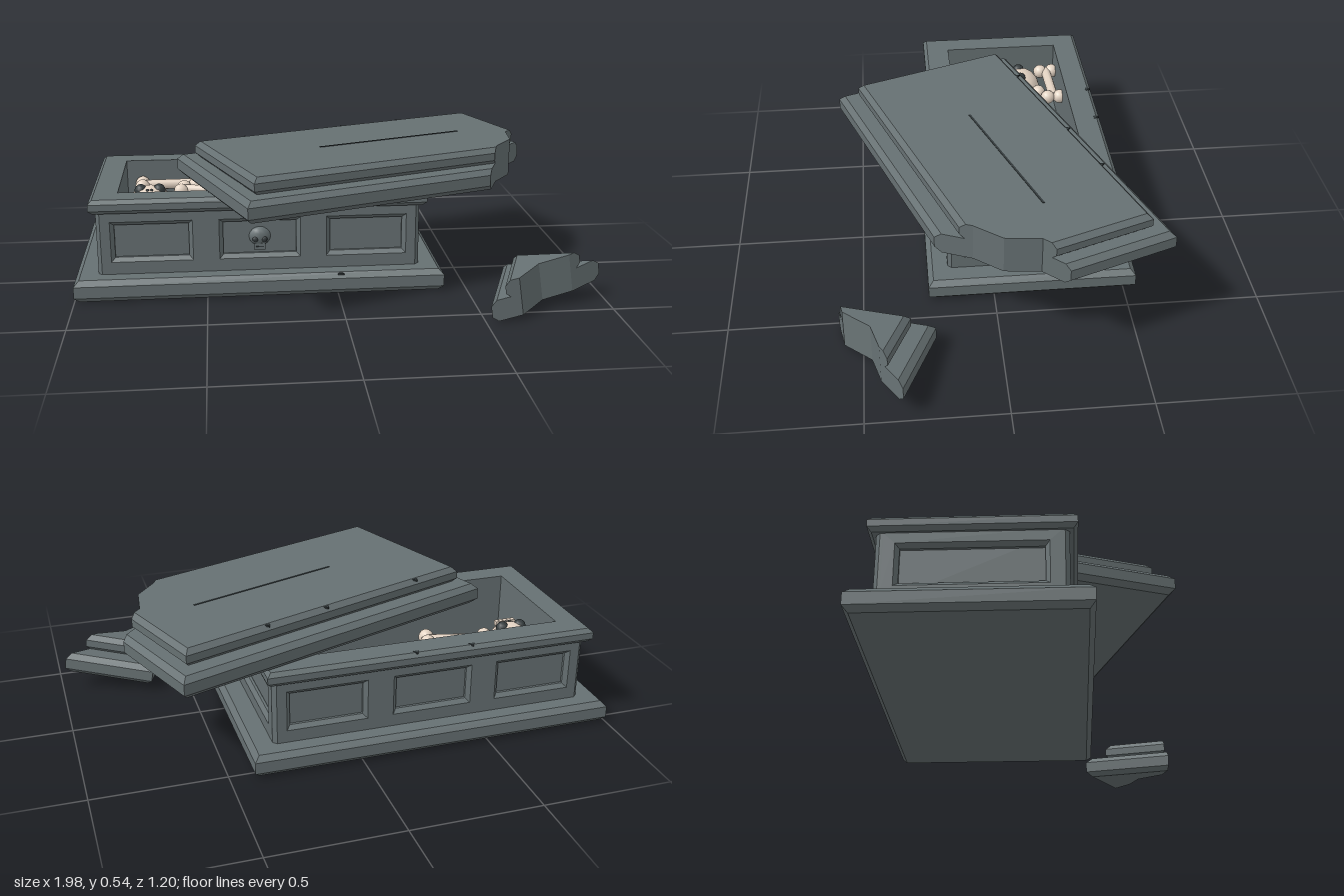
import * as THREE from 'three';

const mat = (name, color, side = THREE.FrontSide) => {
  const m = new THREE.MeshStandardMaterial({ color, side });
  m.name = name;
  return m;
};

// Flat-faced loft through stacked loops; each loop is a list of [x, z] at height y
function loft(levels, capBottom = true, capTop = true) {
  const pos = [];
  const tri = (...pts) => pts.forEach(p => pos.push(...p));
  const at = (l, i) => [l.loop[i][0], l.y, l.loop[i][1]];
  for (let k = 0; k + 1 < levels.length; k++) {
    const lo = levels[k], up = levels[k + 1], n = lo.loop.length;
    for (let i = 0; i < n; i++) {
      const j = (i + 1) % n;
      tri(at(lo, i), at(lo, j), at(up, j));
      tri(at(lo, i), at(up, j), at(up, i));
    }
  }
  const cap = (l, dir) => {
    const pts = l.loop.map(p => new THREE.Vector2(p[0], p[1]));
    for (const [a, b, c] of THREE.ShapeUtils.triangulateShape(pts, [])) {
      const A = pts[a], B = pts[b], C = pts[c];
      const ny = (B.y - A.y) * (C.x - A.x) - (B.x - A.x) * (C.y - A.y);
      if (ny * dir > 0) tri(at(l, a), at(l, b), at(l, c));
      else tri(at(l, a), at(l, c), at(l, b));
    }
  };
  if (capBottom) cap(levels[0], -1);
  if (capTop) cap(levels[levels.length - 1], 1);
  const g = new THREE.BufferGeometry();
  g.setAttribute('position', new THREE.Float32BufferAttribute(pos, 3));
  g.computeVertexNormals();
  return g;
}

const rect = (a, b) => [[-a, -b], [-a, b], [a, b], [a, -b]];
const stack = (profile, loopOf) => profile.map(([a, b, y]) => ({ loop: loopOf(a, b), y }));

// Break line across one corner of the lid, shared by the lid and its fragment
const BREAK = [[0.41, 0.275], [0.515, 0.209], [0.573, 0.092]];
const breakEnd = L => [L, 0.092 - (L - 0.573) * 0.54];
const breakStart = W => [0.41 - (W - 0.275) * 0.905, W];
const lidLoop = (L, W) => [[-L, -W], [-L, W], breakStart(W), ...BREAK, breakEnd(L), [L, -W]];
const fragmentLoop = (L, W) => [breakStart(W), [L, W], breakEnd(L), ...[...BREAK].reverse()];
const LID = [
  [0.655, 0.36, 0], [0.675, 0.38, 0.02], [0.675, 0.38, 0.062], [0.655, 0.36, 0.082],
  [0.607, 0.297, 0.082], [0.622, 0.312, 0.097], [0.622, 0.312, 0.126], [0.604, 0.294, 0.145],
];

// Body wall with sloped recessed panels; its outer face lies at z = dist
function wallGeometry(half, dist, centres, panelHalf) {
  const b = 0.015;
  const box = (path, x0, x1, y0, y1) =>
    path.moveTo(x0, y0).lineTo(x1, y0).lineTo(x1, y1).lineTo(x0, y1).closePath();
  const s = box(new THREE.Shape(), -half + b, half - b, 0.075, 0.34);
  for (const c of centres) s.holes.push(box(new THREE.Path(), c - panelHalf, c + panelHalf, 0.133, 0.292));
  const g = new THREE.ExtrudeGeometry(s, {
    depth: 0.01, bevelEnabled: true, bevelSize: b, bevelThickness: b, bevelSegments: 1,
  });
  return g.translate(0, 0, dist - 0.025);
}

export function createModel() {
  const stone = mat('stone', 0x667072);
  const dark = mat('dark stone', 0x343b3d);
  const bone = mat('bone', 0xe3d3c3);
  const root = new THREE.Group();
  const add = (parent, name, geo, m, x = 0, y = 0, z = 0) => {
    const mesh = new THREE.Mesh(geo, m);
    mesh.name = name;
    mesh.position.set(x, y, z);
    parent.add(mesh);
    return mesh;
  };
  const group = (parent, name, x = 0, y = 0, z = 0) => {
    const g = new THREE.Group();
    g.name = name;
    g.position.set(x, y, z);
    parent.add(g);
    return g;
  };

  // Stone chest
  const chest = group(root, 'chest', -0.295, 0, -0.147);
  add(chest, 'plinth', loft(stack([
    [0.685, 0.378, 0], [0.705, 0.398, 0.02], [0.705, 0.398, 0.065], [0.685, 0.378, 0.085],
  ], rect)), stone);
  add(chest, 'panelBacks', loft(stack([[0.59, 0.293, 0.08], [0.59, 0.293, 0.34]], rect), false, false), stone);
  for (const side of [0, 2]) {
    add(chest, 'longWall', wallGeometry(0.617, 0.32, [-0.41, 0, 0.41], 0.155), stone).rotation.y = side * Math.PI / 2;
    add(chest, 'endWall', wallGeometry(0.32, 0.617, [0], 0.255), stone).rotation.y = (side + 1) * Math.PI / 2;
  }
  // Rim running over into the hollow and its floor
  add(chest, 'rimAndHollow', loft(stack([
    [0.535, 0.24, 0.33], [0.625, 0.333, 0.33], [0.64, 0.348, 0.345], [0.64, 0.348, 0.37],
    [0.625, 0.333, 0.385], [0.535, 0.24, 0.385], [0.535, 0.24, 0.13],
  ], rect), false, true), stone);

  // Small chips along the edges
  const chip = (parent, x, y, z) => {
    const c = add(parent, 'chip', new THREE.CylinderGeometry(0.014, 0.014, 0.006, 3), dark, x, y, z);
    c.rotation.y = Math.PI;
  };
  chip(chest, -0.145, 0.384, -0.33);
  chip(chest, 0.075, 0.384, -0.33);
  chip(chest, 0.305, 0.08, 0.386);

  // Skull carved on the front panel
  const carving = group(chest, 'carvedSkull', 0, 0.205, 0.295);
  add(carving, 'carvedCranium', new THREE.SphereGeometry(0.042, 12, 8), stone, 0, 0.008, 0).scale.set(1, 0.9, 0.55);
  add(carving, 'carvedJaw', new THREE.BoxGeometry(0.042, 0.026, 0.03), stone, 0, -0.03, 0.002);
  for (const s of [-1, 1]) {
    add(carving, 'carvedEye', new THREE.SphereGeometry(0.012, 8, 6), dark, s * 0.017, 0, 0.017).scale.z = 0.6;
  }
  add(carving, 'carvedMouth', new THREE.BoxGeometry(0.03, 0.004, 0.004), dark, 0, -0.03, 0.017);

  // Broken lid lying askew
  const lid = group(root, 'lid', 0.155, 0.39, -0.02);
  lid.rotation.y = 0.35;
  add(lid, 'lidSlab', loft(stack(LID, lidLoop)), stone);
  add(lid, 'crack', new THREE.BoxGeometry(0.62, 0.004, 0.008), dark, 0.09, 0.145, -0.001);
  for (const x of [-0.41, 0.02, 0.28]) chip(lid, x, 0.14, -0.3);

  // Corner broken off the lid, resting on the ground
  const fragment = group(root, 'lidFragment', 0.655, 0.022, 0.235);
  fragment.rotation.z = 0.15;
  const fragGeo = loft(stack(LID, fragmentLoop)).translate(-0.675, 0, -0.38);
  fragGeo.scale(1, 1, 1.1);
  fragGeo.computeVertexNormals();
  add(fragment, 'fragmentSlab', fragGeo, stone).rotation.y = 2.78;

  // Skull looking up from the hollow
  const skull = group(root, 'skull', -0.728, 0.23, -0.225);
  add(skull, 'cranium', new THREE.SphereGeometry(0.095, 18, 12), bone, 0, 0, 0).scale.set(1, 0.95, 0.92);
  add(skull, 'jaw', new THREE.SphereGeometry(0.056, 10, 8), bone, 0, 0.025, 0.058).scale.set(1, 0.85, 0.5);
  for (const s of [-1, 1]) {
    add(skull, 'eyeSocket', new THREE.SphereGeometry(0.026, 10, 8), dark, s * 0.037, 0.072, 0.005);
    add(skull, 'nostril', new THREE.SphereGeometry(0.007, 6, 5), dark, s * 0.008, 0.08, 0.037);
  }
  for (let i = -2; i <= 2; i++) {
    add(skull, 'tooth', new THREE.BoxGeometry(0.014, 0.02, 0.02), bone, i * 0.017, 0.068, 0.062);
  }

  // Loose bones with knobbed ends
  const addBone = (x, y, z, length, yaw, tilt) => {
    const b = group(root, 'looseBone', x, y, z);
    b.rotation.set(0, yaw, tilt);
    add(b, 'shaft', new THREE.CylinderGeometry(0.021, 0.021, length, 8), bone).rotation.z = Math.PI / 2;
    for (const e of [-1, 1]) for (const s of [-1, 1]) {
      add(b, 'knob', new THREE.SphereGeometry(0.03, 10, 8), bone, e * length / 2, 0, s * 0.026);
    }
  };
  addBone(-0.655, 0.29, -0.348, 0.22, 0.03, 0);
  addBone(-0.485, 0.29, -0.235, 0.23, -0.25, 0);
  return root;
}
